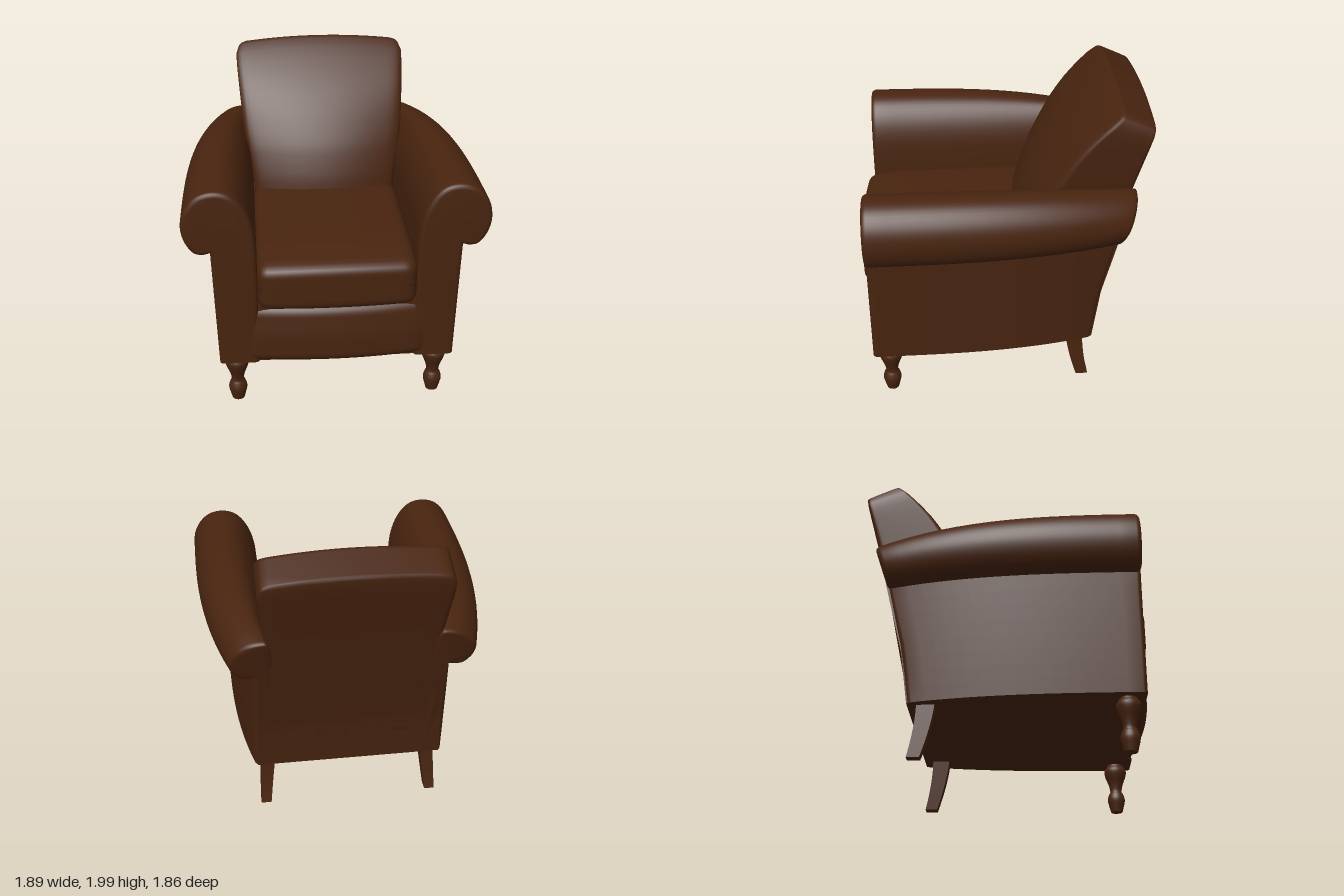
import * as THREE from 'three';
import { mergeVertices, toCreasedNormals } from 'three/addons/utils/BufferGeometryUtils.js';

const { clamp, lerp, smoothstep } = THREE.MathUtils;

// Piecewise linear lookup through [key, value] pairs
function lookup(table, k) {
  let i = 1;
  while (i < table.length - 1 && k > table[i][0]) i++;
  const [a, b] = [table[i - 1], table[i]];
  return lerp(a[1], b[1], clamp((k - a[0]) / (b[0] - a[0]), 0, 1));
}

// Raked rear surface of the whole chair: z by height
const rearZ = (y) => lookup([[0.34, -0.59], [0.7, -0.64], [1, -0.715], [1.42, -0.815], [1.9, -0.94]], y);
// Inward taper of the sides towards the rear
const taper = (u) => 0.19 * u ** 3;

function warp(geometry, rule) {
  const p = geometry.attributes.position;
  const v = new THREE.Vector3();
  for (let i = 0; i < p.count; i++) {
    rule(v.fromBufferAttribute(p, i));
    p.setXYZ(i, v.x, v.y, v.z);
  }
  return geometry;
}

// Soft upholstered block between two corners, then bent by a rule
function pad(min, max, radius, rule) {
  const size = max.map((m, i) => m - min[i]);
  const half = size.map((s) => s / 2);
  let g = new THREE.BoxGeometry(...size, 32, 24, 24);
  g.deleteAttribute('uv');
  g.deleteAttribute('normal');
  g = mergeVertices(g);
  warp(g, (v) => {
    const core = new THREE.Vector3(...['x', 'y', 'z'].map((k, i) => clamp(v[k], radius - half[i], half[i] - radius)));
    v.sub(core).setLength(radius).add(core);
    v.x += min[0] + half[0];
    v.y += min[1] + half[1];
    v.z += min[2] + half[2];
    rule(v);
  });
  g.computeVertexNormals();
  return g;
}

// Scrolled arm: outline extruded front to rear, narrowing and dropping
function armGeometry(side) {
  const shape = new THREE.Shape();
  const P = (x, y) => new THREE.Vector2(side * x, y);
  shape.moveTo(side * 0.75, 0.34);
  for (let i = 1; i <= 8; i++) shape.lineTo(side * lerp(0.75, 0.775, i / 8), lerp(0.34, 1.14, i / 8));
  shape.splineThru([P(0.82, 1.13), P(0.875, 1.145), P(0.925, 1.22), P(0.945, 1.32), P(0.92, 1.43), P(0.845, 1.52),
    P(0.74, 1.55), P(0.635, 1.52), P(0.555, 1.42), P(0.51, 1.28), P(0.495, 1.1)]);
  for (let i = 1; i <= 8; i++) shape.lineTo(side * 0.495, lerp(1.1, 0.34, i / 8));
  const b = 0.03;
  const g = new THREE.ExtrudeGeometry(shape, {
    depth: 1.6, steps: 16, curveSegments: 4,
    bevelThickness: b, bevelSize: b, bevelOffset: -b, bevelSegments: 4,
  });
  warp(g, (v) => {
    const u = 1 - (v.z + b) / (1.6 + 2 * b);
    const x = Math.abs(v.x);
    // keep the underside flat where the bevel would lift it
    if (v.y < 0.375) v.y = 0.34;
    v.z = lerp(0.87, rearZ(v.y) + 0.008, u);
    const w = (0.87 - v.z) / 1.67;
    v.x = side * (x - taper(w) * clamp((x - 0.49) / 0.26, 0, 1));
    v.y -= 0.1 * w ** 3 * clamp((v.y - 1.13) / 0.42, 0, 1);
  });
  return toCreasedNormals(g, 0.7);
}

// Square rear leg sweeping backwards and slightly outwards
function rearLegGeometry(side) {
  const g = new THREE.BoxGeometry(1, 0.36, 1, 1, 8, 1);
  warp(g, (v) => {
    const t = clamp(0.5 - v.y / 0.36, 0, 1);
    const curve = t ** 1.6;
    v.x = side * lerp(0.54, 0.568, t) + v.x * lerp(0.095, 0.068, t);
    v.z = lerp(-0.475, -0.54, curve) + v.z * lerp(0.115, 0.08, t);
    v.y += 0.18;
  });
  return toCreasedNormals(g, 0.6);
}

export function createModel() {
  const group = new THREE.Group();
  const leather = new THREE.MeshStandardMaterial({ color: 0x48240f });
  leather.name = 'brownLeather';
  const add = (name, geometry) => {
    const mesh = new THREE.Mesh(geometry, leather);
    mesh.name = name;
    group.add(mesh);
    return mesh;
  };

  // Base box under the seat
  const base = new THREE.BoxGeometry(1.48, 0.42, 1, 2, 6, 12);
  warp(base, (v) => {
    v.y += 0.55;
    v.z = lerp(rearZ(v.y), 0.85, v.z + 0.5);
    v.x -= Math.sign(v.x) * taper((0.87 - v.z) / 1.67);
  });
  add('seatBase', toCreasedNormals(base, 0.6));

  // Flat upholstered rear panel joining the arms
  const panel = new THREE.BoxGeometry(1.2, 1.06, 0.1, 1, 12, 1);
  warp(panel, (v) => {
    v.y += 0.87;
    v.z += 0.05 + rearZ(v.y);
  });
  add('rearPanel', toCreasedNormals(panel, 0.6));

  // Padded front rail
  add('frontRail', pad([-0.59, 0.342, 0.6], [0.59, 0.745, 0.92], 0.07, (v) => {
    if (v.z > 0.8) v.z -= 0.05 * (v.x / 0.59) ** 2 + 0.025 * smoothstep(v.y, 0.5, 0.74);
  }));

  // Loose seat cushion
  add('seatCushion', pad([-0.5, 0.73, -0.25], [0.5, 1.07, 0.92], 0.075, (v) => {
    const k = 1 - (v.x / 0.5) ** 2;
    v.z += smoothstep(v.z, 0.5, 0.9) * (0.025 * k - 0.015);
    if (v.y > 0.9) v.y += 0.015 * k - 0.03 * smoothstep(v.z, 0.6, 0.92);
  }));

  // Raked backrest with a crowned top
  const frontZ = [[0.95, -0.07], [1.15, -0.11], [1.35, -0.185], [1.52, -0.285], [1.65, -0.375],
    [1.77, -0.475], [1.88, -0.585], [1.95, -0.66], [2, -0.72]];
  const halfWidth = [[0.5, 0.47], [1.1, 0.49], [1.45, 0.55], [1.9, 0.585]];
  add('backrest', pad([-0.5, 0.5, -0.5], [0.5, 2, 0.5], 0.06, (v) => {
    const f = v.z + 0.5;
    const x = v.x * 2;
    const top = smoothstep(v.y, 1.3, 2);
    const front = lookup(frontZ, v.y) - 0.09 * x * x * (1 - top);
    const width = lookup(halfWidth, v.y);
    v.y -= 0.1 * (1 - f) * top + 0.04 * x * x * top;
    v.z = lerp(rearZ(v.y), front, f);
    v.x = x * width;
  }));

  // Turned front leg profile
  const turned = new THREE.SplineCurve([[0.04, 0], [0.048, 0.03], [0.06, 0.085], [0.05, 0.125], [0.04, 0.15],
    [0.05, 0.2], [0.072, 0.26], [0.076, 0.3], [0.055, 0.335], [0.055, 0.36]].map((p) => new THREE.Vector2(...p)));
  const profile = [new THREE.Vector2(0, 0), ...turned.getPoints(36)];

  for (const [side, label] of [[1, 'left'], [-1, 'right']]) {
    add(label + 'Arm', armGeometry(side));
    add(label + 'FrontLeg', toCreasedNormals(new THREE.LatheGeometry(profile, 24), 0.9)).position.set(side * 0.645, 0, 0.76);
    add(label + 'RearLeg', rearLegGeometry(side));
  }
  return group;
}
